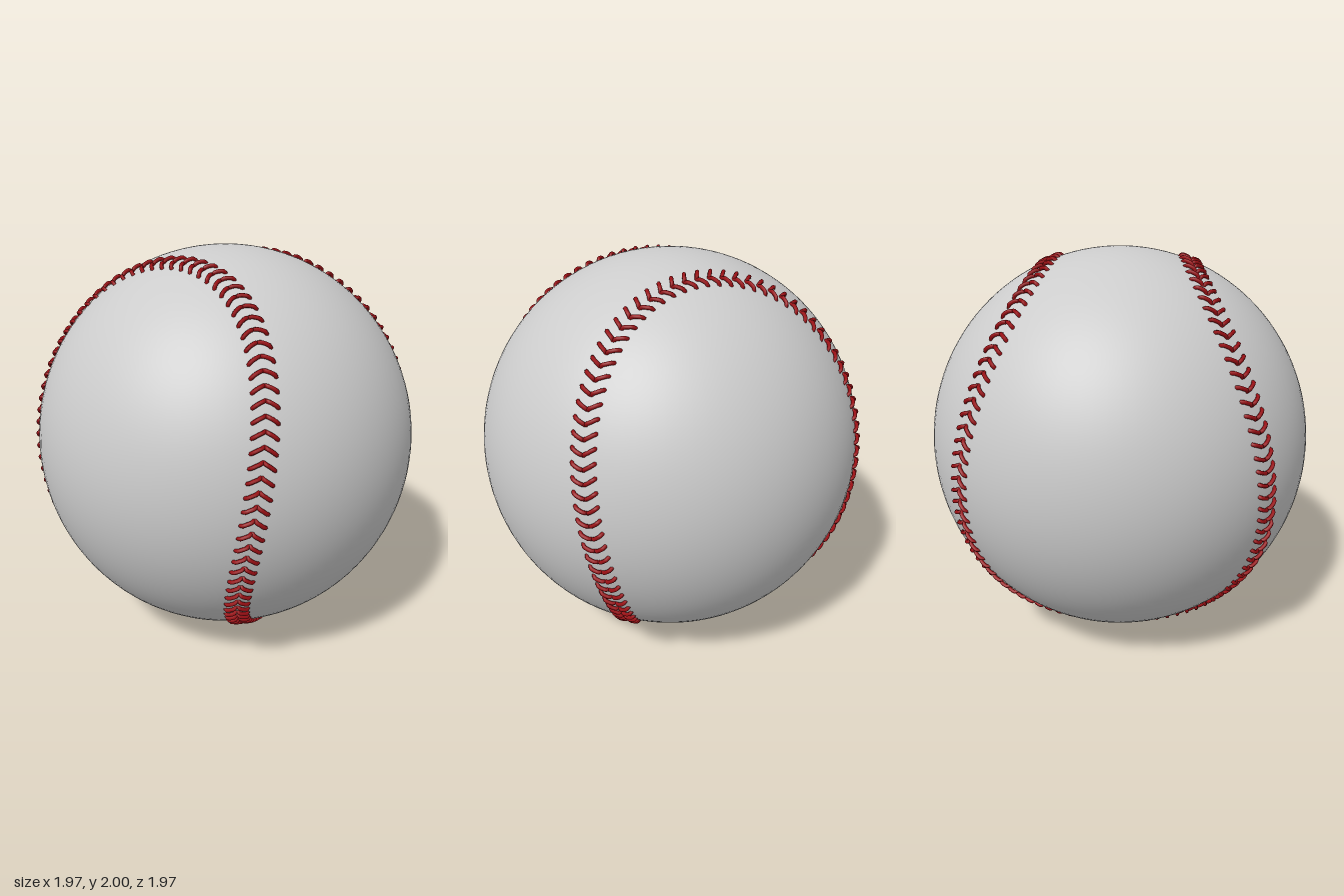
import * as THREE from 'three';
import { mergeGeometries } from 'three/addons/utils/BufferGeometryUtils.js';

const RADII = new THREE.Vector3(0.985, 1, 0.985);
const PAIRS = 176;

// Closed seam on the unit sphere: two interlocking lobes with narrow waists at top and bottom.
class SeamCurve extends THREE.Curve {
  getPoint(u, target = new THREE.Vector3()) {
    const t = u * Math.PI * 2, a = 0.678, b = 0.322;
    return target.set(
      a * Math.sin(t) + b * Math.sin(3 * t),
      2 * Math.sqrt(a * b) * Math.cos(2 * t),
      a * Math.cos(t) - b * Math.cos(3 * t)
    );
  }
}

// One arm of a chevron stitch, arched over the surface with both ends sunk into it.
function stitchArm(point, tangent, side) {
  const across = new THREE.Vector3().crossVectors(point, tangent).normalize();
  const path = [
    [-0.004, 0.001, -0.006],
    [0.002, 0.010, 0.008],
    [0.012, 0.030, 0.011],
    [0.023, 0.048, 0.008],
    [0.029, 0.057, -0.008],
  ].map(([along, out, lift]) => point.clone()
    .addScaledVector(tangent, along)
    .addScaledVector(across, out * side)
    .normalize().multiplyScalar(1 + lift).multiply(RADII));
  return new THREE.TubeGeometry(new THREE.CatmullRomCurve3(path), 8, 0.0095, 7);
}

export function createModel() {
  const model = new THREE.Group();
  model.name = 'ball';

  // Leather cover
  const cover = new THREE.Mesh(
    new THREE.SphereGeometry(1, 96, 64),
    new THREE.MeshStandardMaterial({ color: 0xcccccc })
  );
  cover.name = 'cover';
  cover.scale.copy(RADII);
  cover.position.y = 1;
  model.add(cover);

  // Chevron stitches, evenly spaced along the seam
  const seam = new SeamCurve();
  seam.arcLengthDivisions = 1200;
  const arms = [];
  for (let i = 0; i < PAIRS; i++) {
    const u = (i + 0.5) / PAIRS;
    const point = seam.getPointAt(u).normalize();
    const tangent = seam.getTangentAt(u);
    for (const side of [-1, 1]) arms.push(stitchArm(point, tangent, side));
  }
  const stitches = new THREE.Mesh(
    mergeGeometries(arms),
    new THREE.MeshStandardMaterial({ color: 0x990f14 })
  );
  stitches.name = 'stitches';
  stitches.position.y = 1;
  model.add(stitches);

  return model;
}
